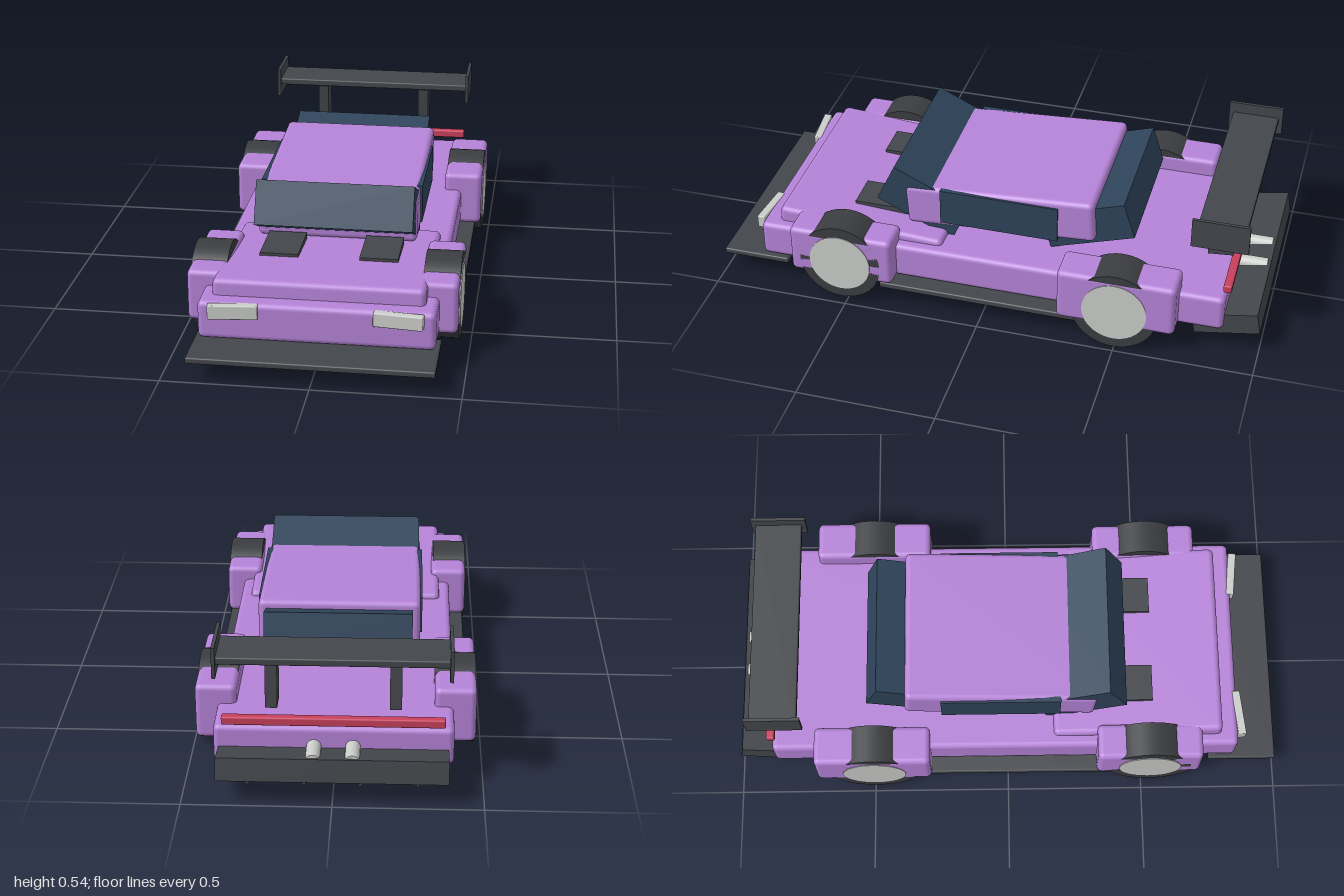
import * as THREE from 'three';
import { RoundedBoxGeometry } from 'three/addons/geometries/RoundedBoxGeometry.js';

const material = (name, color) => {
  const m = new THREE.MeshStandardMaterial({ color });
  m.name = name;
  return m;
};

export function createModel() {
  const car = new THREE.Group();
  car.name = 'raceCar';
  const paint = material('purplePaint', 0xb583d8);
  const carbon = material('darkCarbon', 0x43464b);
  const rubber = material('tyreRubber', 0x3a3c40);
  const glass = material('tintedGlass', 0x2e435a);
  const silver = material('silver', 0xcbcdca);
  const red = material('redLight', 0xc8405c);

  const add = (name, geometry, mat, position, rotation = [0, 0, 0]) => {
    const mesh = new THREE.Mesh(geometry, mat);
    mesh.name = name;
    mesh.position.set(...position);
    mesh.rotation.set(...rotation);
    car.add(mesh);
    return mesh;
  };
  const deg = THREE.MathUtils.degToRad;
  // Box with optional rounded edges and a pitch about x
  const box = (name, mat, size, position, radius = 0, pitch = 0, yaw = 0) =>
    add(name, radius ? new RoundedBoxGeometry(...size, 3, radius) : new THREE.BoxGeometry(...size),
      mat, position, [deg(pitch), deg(yaw), 0]);

  // Body shell
  box('lowerBody', paint, [0.8, 0.135, 1.72], [0, 0.1575, -0.01], 0.02);
  box('bonnet', paint, [0.72, 0.08, 0.62], [0, 0.223, 0.48], 0.02, -3.5);
  box('cabin', paint, [0.57, 0.16, 0.7], [0, 0.352, -0.025], 0.02, 3.5);

  // Glass
  box('windshield', glass, [0.56, 0.16, 0.31], [0, 0.345, 0.26], 0, -25);
  box('rearWindow', glass, [0.515, 0.14, 0.32], [0, 0.342, -0.343], 0, 18);

  // Aero floor parts
  box('frontSplitter', carbon, [0.825, 0.022, 0.25], [0, 0.079, 0.875], 0.006);
  box('diffuser', carbon, [0.765, 0.08, 0.235], [0, 0.11, -0.877], 0, 10);
  for (const x of [-0.28, -0.093, 0.093, 0.28])
    box('diffuserFin', carbon, [0.012, 0.03, 0.1], [x, 0.072, -0.92], 0, 10);

  // Rear wing and light bar
  box('wingBlade', carbon, [0.77, 0.026, 0.17], [0, 0.487, -0.835], 0.006);
  box('tailLight', red, [0.74, 0.03, 0.03], [0, 0.252, -0.872], 0.006);

  // Mirrored parts
  for (const s of [1, -1]) {
    box('sideWindow', glass, [0.02, 0.138, 0.435], [s * 0.282, 0.35, -0.025]);
    box('sideSkirt', carbon, [0.1, 0.024, 0.74], [s * 0.405, 0.078, 0.01], 0.006);
    box('frontFender', paint, [0.132, 0.185, 0.385], [s * 0.397, 0.1825, 0.522], 0.02);
    box('rearFender', paint, [0.142, 0.2, 0.425], [s * 0.406, 0.19, -0.498], 0.02);
    box('bonnetVent', carbon, [0.135, 0.03, 0.2], [s * 0.174, 0.262, 0.435]);
    box('headlight', silver, [0.168, 0.05, 0.03], [s * 0.277, 0.2, 0.858], 0.004, 0, -s * 6);
    box('wingEndplate', carbon, [0.012, 0.11, 0.2], [s * 0.384, 0.486, -0.835]);
    box('wingStrut', carbon, [0.04, 0.185, 0.09], [s * 0.205, 0.382, -0.813], 0, 5);
    add('exhaustTip', new THREE.CylinderGeometry(0.025, 0.025, 0.12, 20), silver,
      [s * 0.065, 0.155, -0.915], [Math.PI / 2, 0, 0]);

    // Wheels: tyre with a silver disc on its outer face
    for (const [label, z, radius, outer] of [['front', 0.525, 0.152, 0.463], ['rear', -0.495, 0.155, 0.476]]) {
      const width = outer - 0.338;
      add(label + 'Tyre', new THREE.CylinderGeometry(radius, radius, width, 40), rubber,
        [s * (outer - width / 2), 0.155, z], [0, 0, Math.PI / 2]);
      add(label + 'Hub', new THREE.CylinderGeometry(radius * 0.75, radius * 0.75, 0.02, 40), silver,
        [s * (outer - 0.007), 0.155, z], [0, 0, Math.PI / 2]);
    }
  }
  return car;
}
